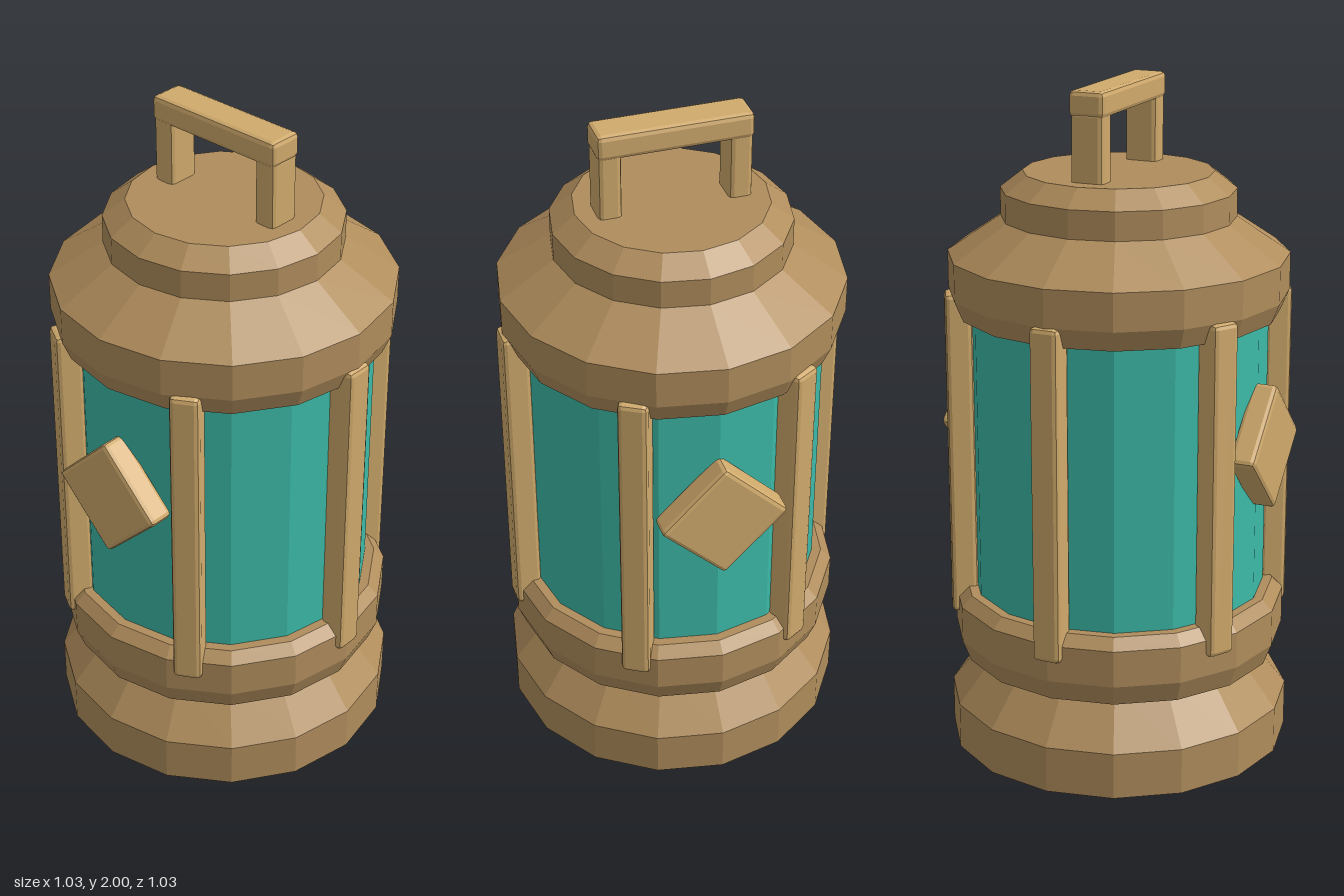
import * as THREE from 'three';
import { RoundedBoxGeometry } from 'three/addons/geometries/RoundedBoxGeometry.js';

const SIDES = 16;
const mat = (color) => new THREE.MeshStandardMaterial({ color, flatShading: true });

export function createModel() {
  const model = new THREE.Group();
  const bronze = mat(0xb08d5c);
  const brass = mat(0xd0aa6c);
  const glass = mat(0x3cbaa8);

  // Faceted solid of revolution from [radius, height] pairs, bottom to top
  const turned = (name, profile, material) => {
    const points = profile.map(([r, y]) => new THREE.Vector2(r, y));
    const mesh = new THREE.Mesh(new THREE.LatheGeometry(points, SIDES), material);
    mesh.name = name;
    model.add(mesh);
  };

  // Box with chamfered edges
  const block = (name, size, position, parent = model) => {
    const mesh = new THREE.Mesh(new RoundedBoxGeometry(...size, 1, 0.014), brass);
    mesh.name = name;
    mesh.position.set(...position);
    parent.add(mesh);
    return mesh;
  };

  // Body, from the foot up
  turned('base', [[0, 0], [0.515, 0], [0.515, 0.14], [0.395, 0.29], [0, 0.29]], bronze);
  turned('lowerCollar', [
    [0, 0.28], [0.475, 0.28], [0.5, 0.345], [0.5, 0.455], [0.468, 0.487], [0, 0.487],
  ], bronze);
  turned('glassChamber', [[0.44, 0.47], [0.44, 1.35]], glass);
  turned('lid', [
    [0, 1.335], [0.475, 1.335], [0.5, 1.395], [0.5, 1.505], [0.343, 1.61],
    [0.343, 1.693], [0.278, 1.743], [0, 1.743],
  ], bronze);

  // Six upright bars around the glass
  for (let i = 0; i < 6; i++) {
    const angle = Math.PI / 2 + (i * Math.PI) / 3;
    const bar = block('cageBar', [0.086, 0.99, 0.08],
      [0.47 * Math.sin(angle), 0.9, 0.47 * Math.cos(angle)]);
    bar.rotation.y = angle;
  }

  // Diamond plates on the front and back
  for (const side of [1, -1]) {
    const plate = block(side > 0 ? 'frontDiamond' : 'backDiamond',
      [0.27, 0.27, 0.08], [0, 0.97, side * 0.462]);
    plate.rotation.z = Math.PI / 4;
  }

  // Carrying handle
  const handle = new THREE.Group();
  handle.name = 'handle';
  model.add(handle);
  for (const side of [1, -1]) {
    block('handlePost', [0.068, 0.23, 0.1], [side * 0.188, 1.828, 0], handle);
  }
  block('handleGrip', [0.448, 0.075, 0.108], [0, 1.9625, 0], handle);

  return model;
}
